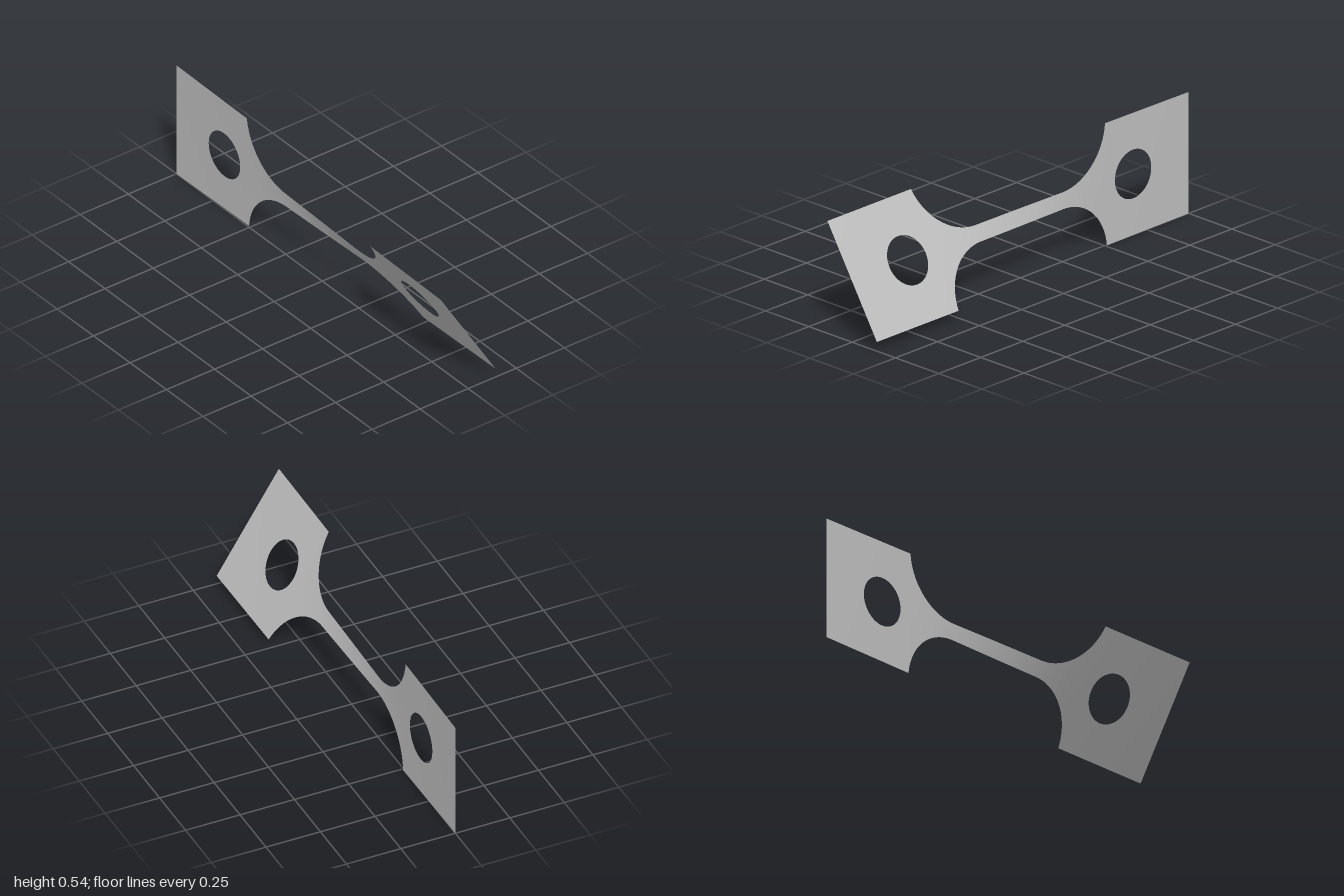
import * as THREE from 'three';

const HALF = 0.271;      // half height of the end plates
const NECK = 0.036;      // half height of the narrow bar
const R = 0.26;          // radius of the concave shoulders
const BAR = 0.25;        // half length of the straight bar
const PLATE = BAR + Math.sqrt(R * R - (NECK + R - HALF) ** 2); // where the plates start
const HOLE_X = 0.67, HOLE_R = 0.108;
const TWIST = THREE.MathUtils.degToRad(31.8);

// half height of the outline at x
function halfHeight(x) {
  const a = Math.abs(x);
  if (a >= PLATE) return HALF;
  if (a <= BAR) return NECK;
  return NECK + R - Math.sqrt(R * R - (a - BAR) ** 2);
}

// twist angle along x: narrow sections turn faster than wide ones
const STEPS = 800;
const angles = [0];
for (let i = 0; i < STEPS; i++) {
  const x = -1 + (2 * (i + 0.5)) / STEPS;
  const rate = (Math.abs(x) > PLATE ? 0.5 : 1) / halfHeight(x);
  angles.push(angles[i] + rate);
}
function twistAt(x) {
  const f = THREE.MathUtils.clamp(((x + 1) / 2) * STEPS, 0, STEPS);
  const i = Math.min(Math.floor(f), STEPS - 1);
  return (THREE.MathUtils.lerp(angles[i], angles[i + 1], f - i) / angles[STEPS]) * TWIST;
}

// sheet from a grid of flat points [x, y], twisted about the long axis
function twistedSheet(cols, rows, pointAt) {
  const pos = [], index = [];
  for (let i = 0; i <= cols; i++) {
    for (let j = 0; j <= rows; j++) {
      const [x, y] = pointAt(i / cols, j / rows);
      const t = twistAt(x);
      pos.push(x, HALF + y * Math.cos(t), y * Math.sin(t));
      if (i < cols && j < rows) {
        const a = i * (rows + 1) + j, b = a + rows + 1;
        index.push(a, b, b + 1, a, b + 1, a + 1);
      }
    }
  }
  const g = new THREE.BufferGeometry();
  g.setAttribute('position', new THREE.Float32BufferAttribute(pos, 3));
  g.setIndex(index);
  g.computeVertexNormals();
  return g;
}

// end plate: rings running from the rectangular rim in to the round hole
function plateGeometry(side) {
  const x0 = side > 0 ? PLATE : -1, x1 = side > 0 ? 1 : -PLATE;
  const cx = side * HOLE_X;
  const corners = [[x0, -HALF], [x1, -HALF], [x1, HALF], [x0, HALF], [x0, -HALF]];
  return twistedSheet(96, 8, (u, v) => {
    const k = Math.min(Math.floor(u * 4 + 1e-9), 3), f = u * 4 - k;
    const rx = THREE.MathUtils.lerp(corners[k][0], corners[k + 1][0], f);
    const ry = THREE.MathUtils.lerp(corners[k][1], corners[k + 1][1], f);
    const a = Math.atan2(ry, rx - cx);
    return [
      THREE.MathUtils.lerp(rx, cx + HOLE_R * Math.cos(a), v),
      THREE.MathUtils.lerp(ry, HOLE_R * Math.sin(a), v),
    ];
  });
}

export function createModel() {
  const group = new THREE.Group();
  group.name = 'twistedTestStrip';
  const metal = new THREE.MeshStandardMaterial({ color: 0xc0c0c0 });
  metal.name = 'grey metal';
  metal.side = THREE.DoubleSide;

  const add = (name, geometry) => {
    const mesh = new THREE.Mesh(geometry, metal);
    mesh.name = name;
    group.add(mesh);
  };

  // narrow bar with its concave shoulders, columns packed toward the plates
  add('neck', twistedSheet(120, 8, (u, v) => {
    const x = PLATE * Math.sin((u - 0.5) * Math.PI);
    return [x, (v * 2 - 1) * halfHeight(x)];
  }));
  add('rightPlate', plateGeometry(-1));
  add('leftPlate', plateGeometry(1));
  return group;
}
